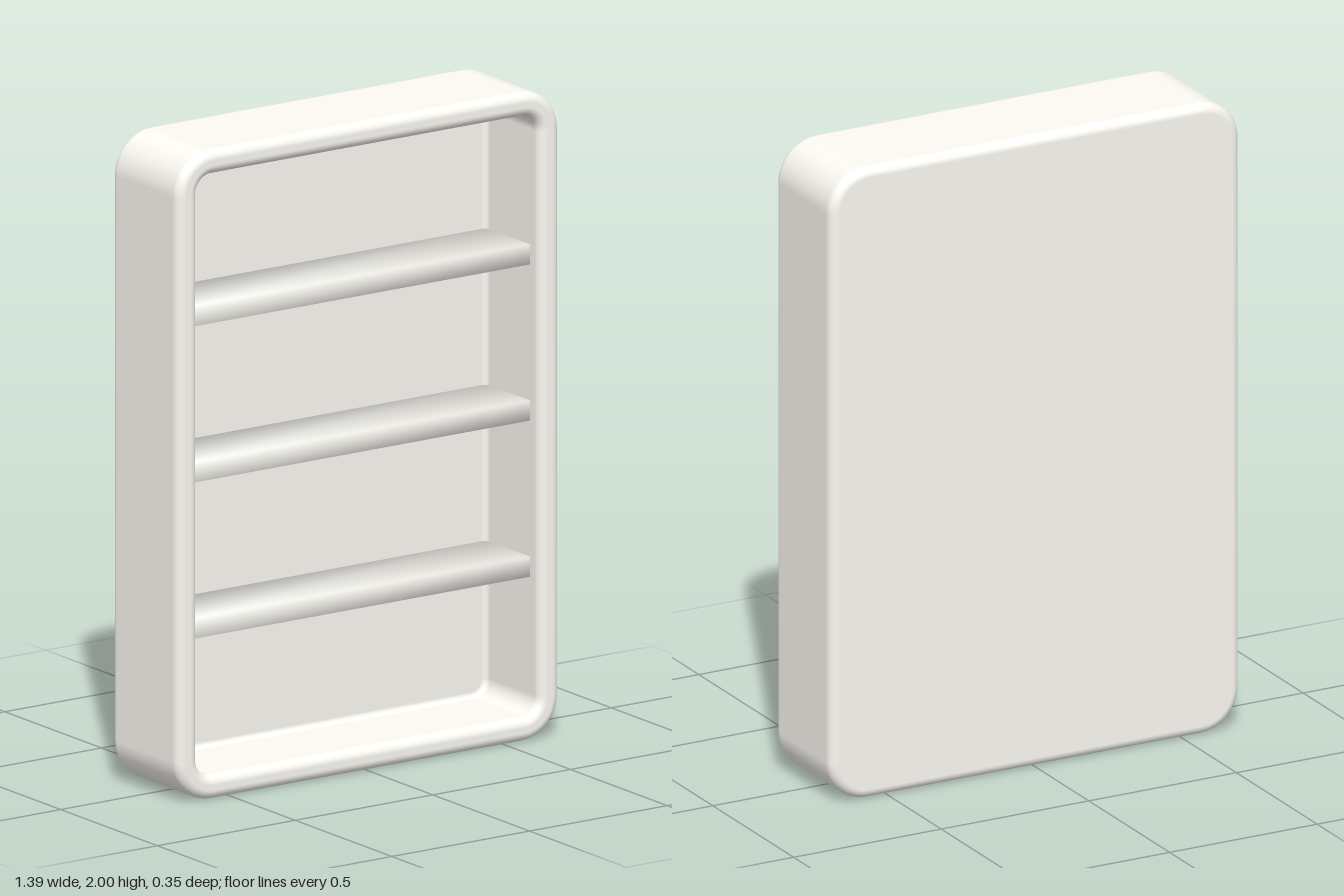
import * as THREE from 'three';
import { toCreasedNormals } from 'three/addons/utils/BufferGeometryUtils.js';

const W = 0.695, H = 1, D = 0.174;    // half width, half height, half depth
const WALL = 0.075, FLOOR = -0.105;   // wall thickness, front of the back panel
const CORNER = 0.13, FILLET = 0.03, INNER_FILLET = 0.018;

// Warm off-white
const material = new THREE.MeshStandardMaterial({ color: 0xfcfaf3 });

// Quarter-circle of profile points: inset, z and the normal (flip -1 for a hollow fillet)
function fillet(cx, cz, r, from, to, flip = 1, steps = 6) {
  return Array.from({ length: steps + 1 }, (_, k) => {
    const a = from + (to - from) * k / steps, c = Math.cos(a), s = Math.sin(a);
    return [cx + r * c, cz + r * s, flip * c, flip * s];
  });
}

// One skin: back face, outer walls, rounded rim, inner walls, inner back
function caseGeometry() {
  const P = Math.PI, f = FILLET, g = INNER_FILLET, steps = 8;
  const profile = [
    ...fillet(f, -D + f, f, 1.5 * P, P),
    ...fillet(f, D - f, f, P, P / 2),
    ...fillet(WALL - f, D - f, f, P / 2, 0),
    ...fillet(WALL + g, FLOOR + g, g, P, 1.5 * P, -1),
  ];
  const positions = [], normals = [], index = [];

  // Rounded-rectangle ring for every profile point
  for (const [inset, z, ni, nz] of profile) {
    [[1, 1], [-1, 1], [-1, -1], [1, -1]].forEach(([sx, sy], q) => {
      for (let k = 0; k <= steps; k++) {
        const a = (q + k / steps) * P / 2, c = Math.cos(a), s = Math.sin(a);
        const r = CORNER - inset;
        positions.push(sx * (W - CORNER) + r * c, H + sy * (H - CORNER) + r * s, z);
        normals.push(-ni * c, -ni * s, nz);
      }
    });
  }
  const n = 4 * (steps + 1), total = profile.length * n, last = total - n;
  for (let i = 0; i < profile.length - 1; i++) {
    for (let j = 0; j < n; j++) {
      const a = i * n + j, b = i * n + (j + 1) % n;
      index.push(a, b, b + n, a, b + n, a + n);
    }
  }

  // Flat caps at the back face and the inner back
  positions.push(0, H, -D, 0, H, FLOOR);
  normals.push(0, 0, -1, 0, 0, 1);
  for (let j = 0; j < n; j++) {
    const k = (j + 1) % n;
    index.push(total, k, j, total + 1, last + j, last + k);
  }
  const geometry = new THREE.BufferGeometry();
  geometry.setAttribute('position', new THREE.Float32BufferAttribute(positions, 3));
  geometry.setAttribute('normal', new THREE.Float32BufferAttribute(normals, 3));
  geometry.setIndex(index);
  return geometry;
}

// Board let into the side walls and back, with shading blended over its edges
function shelfGeometry() {
  const front = 0.12, back = FLOOR - 0.01;
  const board = new THREE.BoxGeometry(2 * (W - WALL) + 0.02, 0.062, front - back);
  board.translate(0, 0, (front + back) / 2);
  return toCreasedNormals(board, 2);
}

export function createModel() {
  const model = new THREE.Group();
  model.name = 'shelfUnit';

  const body = new THREE.Mesh(caseGeometry(), material);
  body.name = 'case';
  model.add(body);

  // Three evenly spaced shelves
  const shelf = shelfGeometry();
  for (let i = -1; i <= 1; i++) {
    const mesh = new THREE.Mesh(shelf, material);
    mesh.name = 'shelf';
    mesh.position.y = 1.002 + i * 0.481;
    model.add(mesh);
  }
  return model;
}
